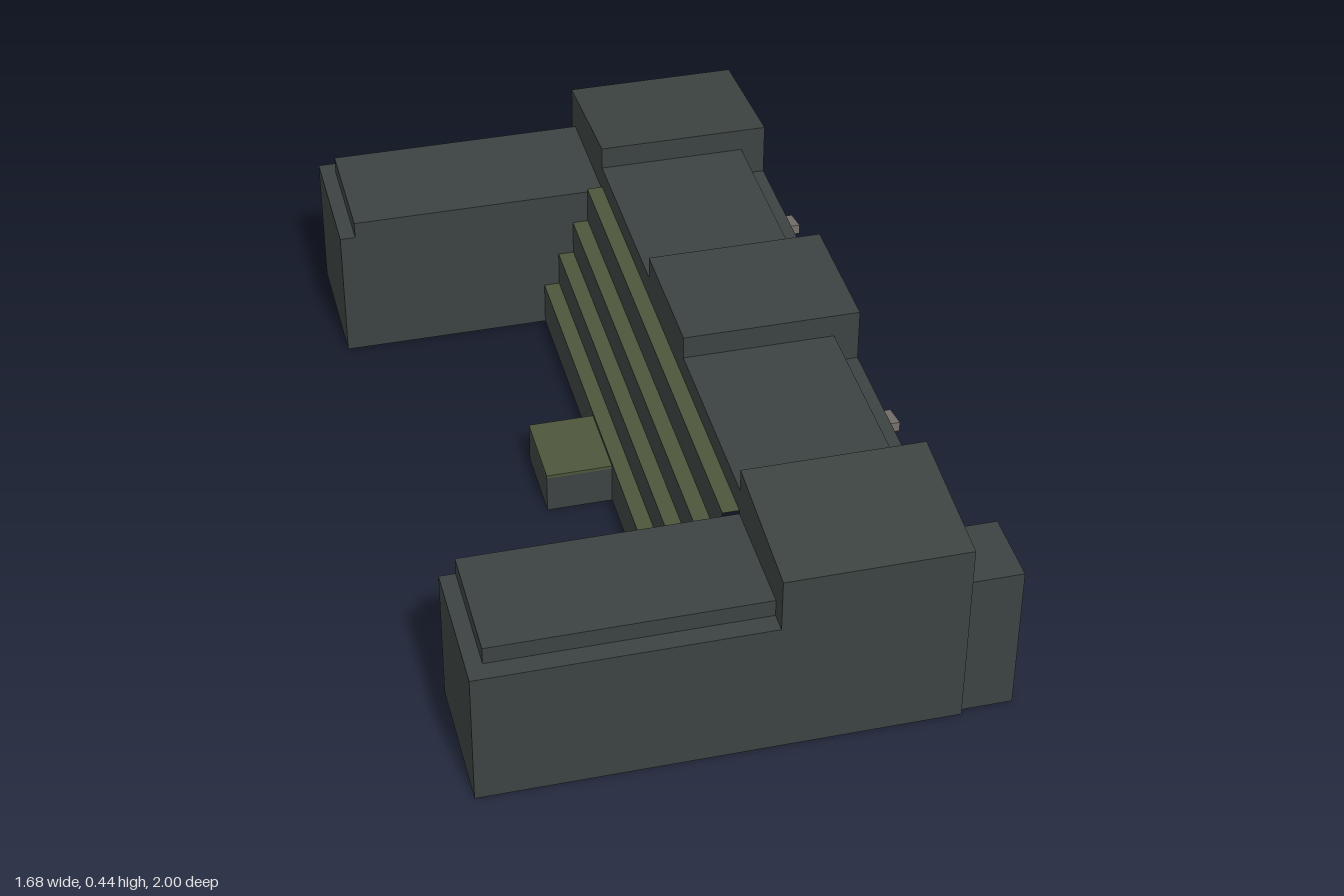
import * as THREE from 'three';

const mat = (name, color) => {
  const m = new THREE.MeshStandardMaterial({ color, side: THREE.DoubleSide });
  m.name = name;
  return m;
};

// Box without a floor; zSlope lowers the roof edge on the +z or -z side
function shell(x0, x1, y0, y1, z0, z1, zSlope = 0, drop = 0.03) {
  const g = new THREE.BoxGeometry(x1 - x0, y1 - y0, z1 - z0);
  const keep = Array.from(g.index.array).filter((_, i) => Math.floor(i / 6) !== 3);
  g.setIndex(keep);
  g.clearGroups();
  const p = g.attributes.position;
  for (let i = 0; i < p.count; i++) {
    if (zSlope && p.getY(i) > 0 && p.getZ(i) * zSlope > 0) p.setY(i, p.getY(i) - drop);
  }
  g.translate((x0 + x1) / 2, (y0 + y1) / 2, (z0 + z1) / 2);
  g.computeVertexNormals();
  return g;
}

// Strips of a profile (x, y pairs) swept along z; each segment is flat
function sweep(segments, z0, z1) {
  const pos = [];
  for (const [[ax, ay], [bx, by]] of segments) {
    pos.push(ax, ay, z0, ax, ay, z1, bx, by, z1, ax, ay, z0, bx, by, z1, bx, by, z0);
  }
  const g = new THREE.BufferGeometry();
  g.setAttribute('position', new THREE.Float32BufferAttribute(pos, 3));
  g.computeVertexNormals();
  return g;
}

export function createModel() {
  const slate = mat('slate wall', 0x3c4341);
  const green = mat('moss green', 0x4d563b);
  const stone = mat('pale stone', 0x77716c);

  const model = new THREE.Group();
  model.name = 'building';
  const plan = new THREE.Group();
  plan.name = 'rotatedPlan';
  plan.rotation.y = 0.4128;
  model.add(plan);
  const add = (name, geometry, material) => {
    const m = new THREE.Mesh(geometry, material);
    m.name = name;
    plan.add(m);
    return m;
  };

  const inner = 0.066, outer = 0.438, tip = -0.525;
  const north = -0.598, south = 0.557;

  // Two wings with raised roofs and corner towers
  const wings = [
    { name: 'north', z0: -0.902, z1: north, r0: -0.868, r1: north, slope: -1 },
    { name: 'south', z0: south, z1: 0.857, r0: south, r1: 0.816, slope: 1 },
  ];
  for (const w of wings) {
    add(w.name + 'Wing', shell(tip, outer, 0, 0.3, w.z0, w.z1), slate);
    add(w.name + 'WingRoof', shell(-0.492, inner, 0.3, 0.337, w.r0, w.r1), slate);
    add(w.name + 'Tower', shell(inner, outer, 0.3, 0.445, w.z0, w.z1, w.slope), slate);
  }

  // Main bar: terraced inner side, recessed roof, ledge and outer wall
  const treadHeights = [0.1, 0.18, 0.26, 0.345];
  const start = -0.07, depth = (inner - start) / treadHeights.length;
  const risers = [], treads = [];
  let y = 0;
  treadHeights.forEach((h, i) => {
    const x = start + i * depth;
    risers.push([[x, y], [x, h]]);
    treads.push([[x, h], [x + depth, h]]);
    y = h;
  });
  const roof = [[inner, y], [inner, 0.395], [0.385, 0.395], [0.385, 0.33], [outer, 0.33], [outer, 0]];
  const roofSegments = roof.slice(1).map((p, i) => [roof[i], p]);
  add('mainBar', sweep([...risers, ...roofSegments], north, south), slate);
  add('terraceTreads', sweep(treads, north, south), green);
  add('middleTower', shell(inner, outer, 0.33, 0.445, -0.168, 0.122), slate);

  // Side annex
  add('annex', shell(outer, 0.546, 0, 0.328, 0.686, 0.845), slate);

  // Entrance block with a green roof
  add('entranceBlock', shell(-0.21, start, 0, 0.085, -0.115, 0.062), slate);
  add('entranceRoof', shell(-0.21, start, 0.085, 0.092, -0.115, 0.062), green);

  // Wedge ledges on the outer wall, middle row staggered
  for (const [row, ly] of [0.115, 0.195, 0.28].entries()) {
    for (const z of [-0.456, -0.2, 0.272, 0.526]) {
      const lz = row === 1 ? z - 0.058 : z;
      const g = new THREE.BoxGeometry(0.036, 0.022, 0.062);
      const p = g.attributes.position;
      for (let i = 0; i < p.count; i++) {
        if (p.getY(i) > 0 && p.getZ(i) < 0) p.setY(i, -0.003);
      }
      g.computeVertexNormals();
      add('wallLedge', g, stone).position.set(outer + 0.018, ly, lz);
    }
  }
  return model;
}
